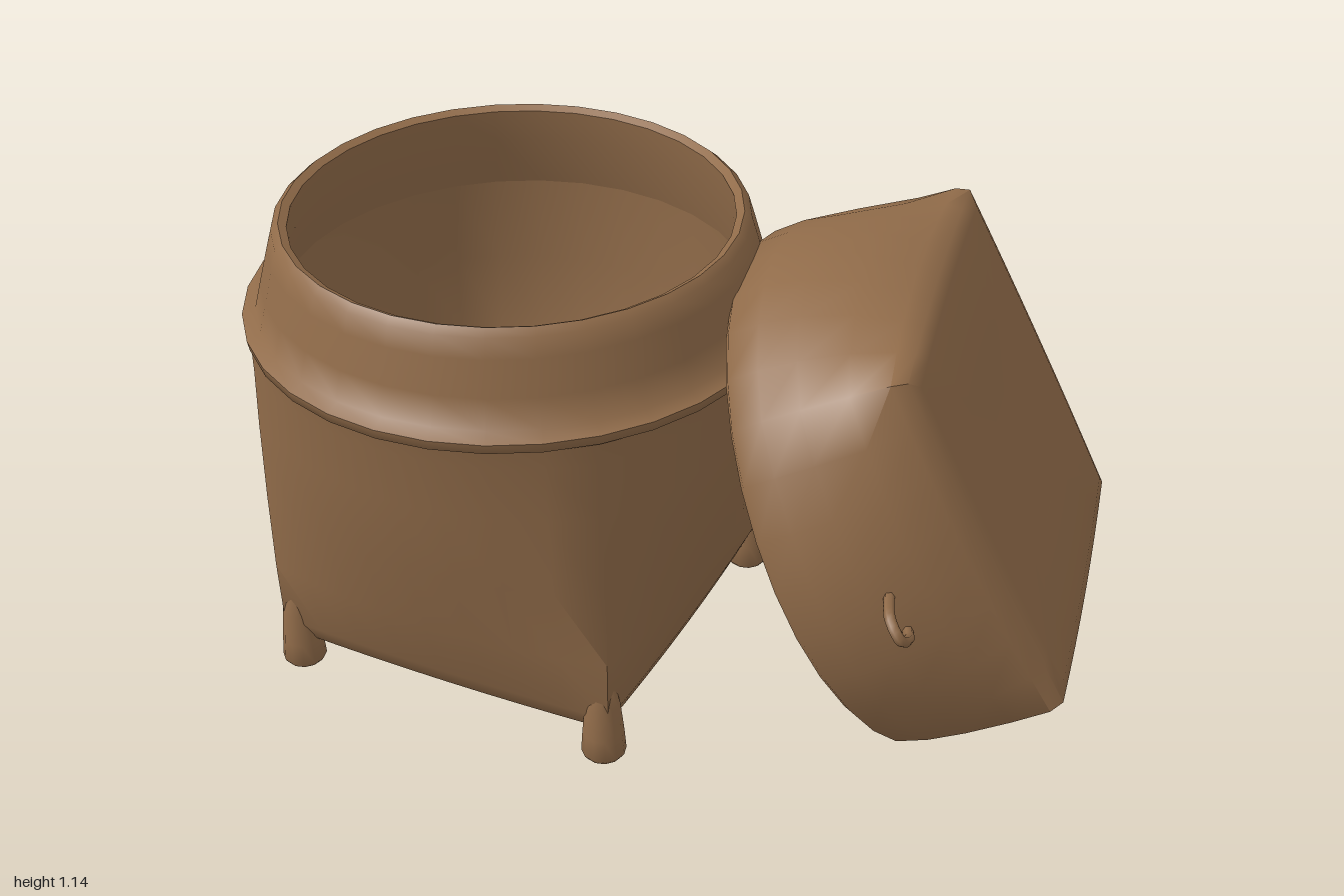
import * as THREE from 'three';
import { toCreasedNormals } from 'three/addons/utils/BufferGeometryUtils.js';

const SEG = 8; // segments along each of the four sides

// Ring of four bulging sides: a = reach at mid-side, c = corner coordinate.
// c = 0.707 a gives a circle, c close to a gives a square.
function ring([y, a, c = a * Math.SQRT1_2]) {
  const points = [];
  const s = a - c;
  const R = s > 1e-4 ? (c * c + s * s) / (2 * s) : 0;
  const phi = R ? Math.asin(Math.min(1, c / R)) : 0;
  for (let k = 0; k < 4; k++) {
    for (let i = 0; i < SEG; i++) {
      const t = (i / SEG) * 2 - 1;
      const p = R ? a - R + R * Math.cos(phi * t) : a;
      const q = R ? R * Math.sin(phi * t) : c * t;
      const cs = [1, 0, -1, 0][k], sn = [0, 1, 0, -1][k];
      points.push(p * cs - q * sn, y, -(p * sn + q * cs));
    }
  }
  return points;
}

// Skin through a list of rings [height, mid-side reach, corner]
function loft(levels) {
  const n = SEG * 4, index = [];
  for (let i = 0; i < levels.length - 1; i++) {
    for (let j = 0; j < n; j++) {
      const a = i * n + j, b = i * n + (j + 1) % n;
      if (levels[i][1] > 0) index.push(a, b, a + n);
      if (levels[i + 1][1] > 0) index.push(b, b + n, a + n);
    }
  }
  const g = new THREE.BufferGeometry();
  g.setAttribute('position', new THREE.Float32BufferAttribute(levels.flatMap(ring), 3));
  g.setIndex(index);
  return toCreasedNormals(g, 1.1);
}

export function createModel() {
  const model = new THREE.Group();
  const wicker = new THREE.MeshStandardMaterial({ color: 0x906b49 });
  wicker.name = 'wicker brown';

  const add = (parent, geometry, name) => {
    const mesh = new THREE.Mesh(geometry, wicker);
    mesh.name = name;
    parent.add(mesh);
    return mesh;
  };

  // Basket: square foot with upright corners, sides swelling to a round collar
  const basket = new THREE.Group();
  basket.name = 'basket';
  basket.position.set(-0.395, 0, 0.107);
  model.add(basket);

  add(basket, loft([
    [0.04, 0, 0], [0.05, 0.2, 0.18], [0.065, 0.33, 0.32], [0.09, 0.42, 0.41], [0.14, 0.442, 0.432],
    [0.3, 0.485, 0.435], [0.5, 0.535, 0.435], [0.7, 0.567, 0.433], [0.84, 0.58, 0.43], [0.9, 0.59, 0.43],
  ]), 'basketBody');

  // Ledge that the lid rests on, neck and mouth
  add(basket, loft([
    [0.88, 0.58], [0.895, 0.612], [0.918, 0.616], [0.932, 0.585], [1.0, 0.567],
    [1.08, 0.545], [1.125, 0.532], [1.14, 0.515], [1.13, 0.497], [1.05, 0.507], [0.92, 0.54],
  ]), 'collar');

  add(basket, loft([
    [0.92, 0.54], [0.7, 0.54, 0.4], [0.5, 0.51, 0.402], [0.3, 0.46, 0.402],
    [0.17, 0.425, 0.395], [0.12, 0.39, 0.37], [0.095, 0.3, 0.28], [0.08, 0.15, 0.13], [0.075, 0, 0],
  ]), 'basketInside');

  // Four peg feet tucked into the corners
  const legProfile = [[0, 0.015], [0.045, 0.015], [0.052, 0.025], [0.048, 0.08],
    [0.04, 0.16], [0.022, 0.24], [0, 0.3]].map(([r, y]) => new THREE.Vector2(r, y));
  for (const x of [-1, 1]) for (const z of [-1, 1]) {
    const leg = add(basket, toCreasedNormals(new THREE.LatheGeometry(legProfile, 12), 1.1),
      (z > 0 ? 'front' : 'back') + (x > 0 ? 'Left' : 'Right') + 'Leg');
    leg.position.set(x * 0.405, 0, z * 0.405);
  }

  // Lid: round mouth, square flat top, leaning against the basket
  const lid = new THREE.Group();
  lid.name = 'lid';
  const u = new THREE.Vector3(0.19, 0, 0.982);
  const v = new THREE.Vector3(-0.438, 0.894, 0.085).normalize();
  const n = new THREE.Vector3().crossVectors(v, u).normalize();
  lid.quaternion.setFromRotationMatrix(
    new THREE.Matrix4().makeBasis(v, n, new THREE.Vector3().crossVectors(v, n)));
  lid.position.set(0.38, 0.53, -0.043);
  model.add(lid);

  add(lid, loft([
    [0.372, 0, 0], [0.372, 0.2, 0.18], [0.368, 0.35, 0.33], [0.335, 0.42, 0.395],
    [0.25, 0.49, 0.4], [0.13, 0.55, 0.405],
    [0.0, 0.573], [-0.008, 0.585], [0.005, 0.597, 0.428], [0.08, 0.597, 0.436],
    [0.17, 0.577, 0.438], [0.28, 0.53, 0.436], [0.37, 0.468, 0.432],
    [0.403, 0.435, 0.422], [0.412, 0.4, 0.39], [0.406, 0.2, 0.19], [0.4, 0, 0],
  ]), 'lidShell');

  // Pointed cord loops on two opposite sides
  for (const side of [-1, 1]) {
    const path = new THREE.CatmullRomCurve3([
      [-0.065, 0.21, 0.54], [-0.06, 0.225, 0.59], [-0.015, 0.235, 0.65],
      [0.02, 0.225, 0.625], [0.03, 0.21, 0.54],
    ].map(([x, y, z]) => new THREE.Vector3(x, y, z * side)));
    add(lid, new THREE.TubeGeometry(path, 20, 0.012, 6), side < 0 ? 'frontLoop' : 'backLoop');
  }

  return model;
}
